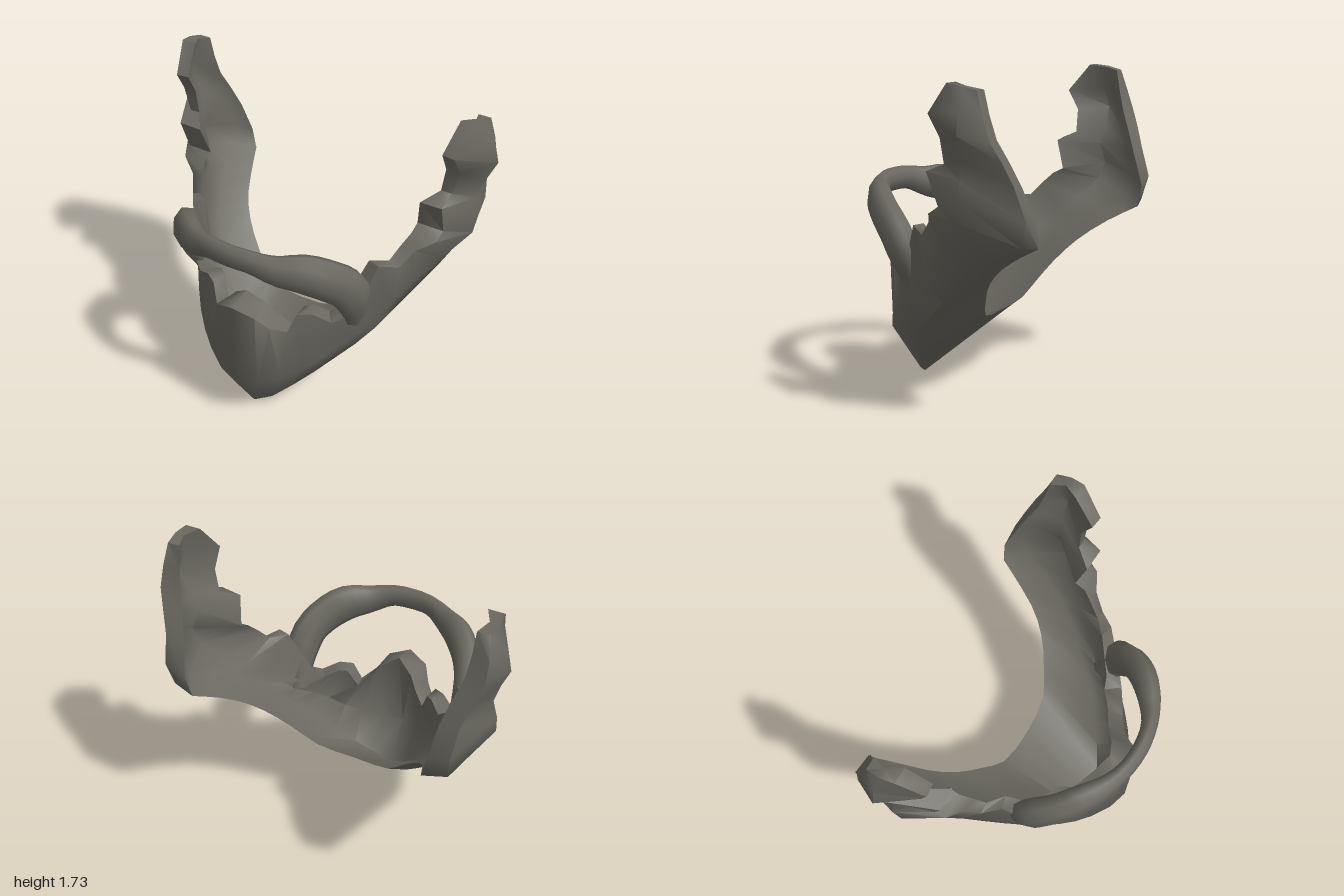
import * as THREE from 'three';
import { toCreasedNormals } from 'three/addons/utils/BufferGeometryUtils.js';

const LAST = 17; // stations from chin centre (0) to sideburn tip
const THICKNESS = 0.09;
const vecs = (rows) => rows.map((p) => new THREE.Vector3(...p));

// Curve mirrored over x = 0; the first row lies on the centre line
const mirroredCurve = (rows) => new THREE.CatmullRomCurve3(vecs([
  ...rows.slice(1).map(([x, y, z]) => [-x, y, z]).reverse(), ...rows,
]));

// Jagged upper rim: inner and outer edge, one point per station
const rimInner = vecs([
  [0, 0.79, 0.44], [0.1, 0.72, 0.4], [0.15, 0.65, 0.365], [0.21, 0.59, 0.33], [0.26, 0.7, 0.29], [0.3, 0.71, 0.26],
  [0.37, 0.66, 0.21], [0.43, 0.71, 0.19], [0.53, 0.98, 0.09], [0.61, 0.97, 0.02], [0.64, 1.04, -0.04], [0.67, 1.1, -0.1],
  [0.67, 1.13, -0.16], [0.7, 1.29, -0.11], [0.77, 1.34, -0.2], [0.79, 1.47, -0.2], [0.79, 1.58, -0.14], [0.82, 1.73, -0.26],
]);
const rimOuter = vecs([
  [0, 0.765, 0.585], [0.12, 0.72, 0.55], [0.17, 0.64, 0.49], [0.23, 0.59, 0.41], [0.27, 0.7, 0.38], [0.34, 0.71, 0.34],
  [0.43, 0.66, 0.29], [0.52, 0.7, 0.22], [0.6, 0.98, 0.11], [0.67, 0.95, 0.02], [0.72, 1.03, -0.05], [0.81, 1.09, -0.1],
  [0.82, 1.13, -0.16], [0.83, 1.3, -0.1], [0.83, 1.34, -0.2], [0.87, 1.47, -0.2], [0.86, 1.58, -0.13], [0.91, 1.73, -0.26],
]);

// Smooth rails: cheek, jaw line and neck edge
const cheek = mirroredCurve([
  [0, 0.25, 0.57], [0.22, 0.31, 0.48], [0.38, 0.42, 0.36], [0.51, 0.54, 0.21], [0.62, 0.68, 0.06],
  [0.75, 0.87, -0.12], [0.94, 1.13, -0.32], [0.91, 1.3, -0.33], [1.0, 1.51, -0.36], [0.92, 1.72, -0.34],
]);
const jaw = mirroredCurve([
  [0, 0, 0.4], [0.19, 0.13, 0.32], [0.38, 0.32, 0.2], [0.53, 0.48, 0.06], [0.64, 0.65, -0.12],
  [0.76, 0.84, -0.35], [0.82, 1.0, -0.63], [0.86, 1.29, -0.57], [0.93, 1.48, -0.49], [0.91, 1.7, -0.42],
]);
const neck = mirroredCurve([
  [0, 0.42, -0.09], [0.22, 0.44, -0.11], [0.34, 0.55, -0.17], [0.46, 0.67, -0.25], [0.55, 0.77, -0.35],
  [0.63, 0.88, -0.51], [0.69, 0.96, -0.64], [0.75, 1.27, -0.56], [0.82, 1.48, -0.47], [0.84, 1.7, -0.42],
]);

// Cross-section of the shell: outer line, then the inner line back to the rim
function section(i) {
  const u = 0.5 + i / LAST / 2;
  const a = rimInner[i], c = cheek.getPoint(u), d = jaw.getPoint(u), e = neck.getPoint(u);
  const middle = a.clone().lerp(e, 0.5);
  const inset = (p) => p.clone().lerp(middle, Math.min(0.6, THICKNESS / p.distanceTo(middle)));
  return [a, rimOuter[i], c, d, e, inset(d), inset(c)];
}

function beardGeometry() {
  const pos = [], index = [], n = 7, rows = 2 * LAST + 1;
  for (let s = -LAST; s <= LAST; s++) {
    for (const p of section(Math.abs(s))) pos.push(s < 0 ? -p.x : p.x, p.y, p.z);
  }
  for (let r = 0; r < rows - 1; r++) {
    for (let j = 0; j < n; j++) {
      const a = r * n + j, b = r * n + ((j + 1) % n);
      index.push(a, b, a + n, a + n, b, b + n);
    }
  }
  // sideburn tips, fanned from the last inner point
  const end = (rows - 1) * n;
  for (let j = 0; j < n - 2; j++) {
    index.push(end + n - 1, end + j, end + j + 1, n - 1, j + 1, j);
  }
  const geo = new THREE.BufferGeometry();
  geo.setAttribute('position', new THREE.Float32BufferAttribute(pos, 3));
  geo.setIndex(index);
  return toCreasedNormals(geo, 1.05);
}

// Flattened tube, thin over the lip, broad on the cheeks, tapering into the beard
function moustacheGeometry() {
  const curve = mirroredCurve([
    [0, 1.105, 0.595], [0.13, 1.1, 0.58], [0.25, 1.065, 0.53], [0.36, 1.045, 0.455], [0.45, 0.985, 0.365],
    [0.505, 0.9, 0.27], [0.515, 0.77, 0.2], [0.49, 0.6, 0.14],
  ]);
  const steps = 36, sides = 8;
  const geo = new THREE.TubeGeometry(curve, steps, 1, sides);
  const pos = geo.attributes.position;
  const v = new THREE.Vector3(), out = new THREE.Vector3();
  for (let i = 0; i < pos.count; i++) {
    const t = Math.floor(i / (sides + 1)) / steps;
    const d = Math.abs(2 * t - 1);
    const radius = 0.066 + 0.048 * THREE.MathUtils.smoothstep(d, 0.1, 0.45)
      - 0.045 * THREE.MathUtils.smoothstep(d, 0.72, 1);
    const centre = curve.getPointAt(t);
    out.set(centre.x, 0, centre.z - 0.05).normalize();
    v.fromBufferAttribute(pos, i).sub(centre).multiplyScalar(radius);
    v.addScaledVector(out, -0.35 * v.dot(out)).add(centre);
    pos.setXYZ(i, v.x, v.y, v.z);
  }
  return toCreasedNormals(geo, 1.2);
}

export function createModel() {
  const hair = new THREE.MeshStandardMaterial({ color: 0x6a6860 });
  hair.name = 'greyHair';
  const group = new THREE.Group();
  group.name = 'beardAndMoustache';
  const add = (name, geo) => {
    const mesh = new THREE.Mesh(geo, hair);
    mesh.name = name;
    group.add(mesh);
  };
  add('beard', beardGeometry());
  add('moustache', moustacheGeometry());
  return group;
}
